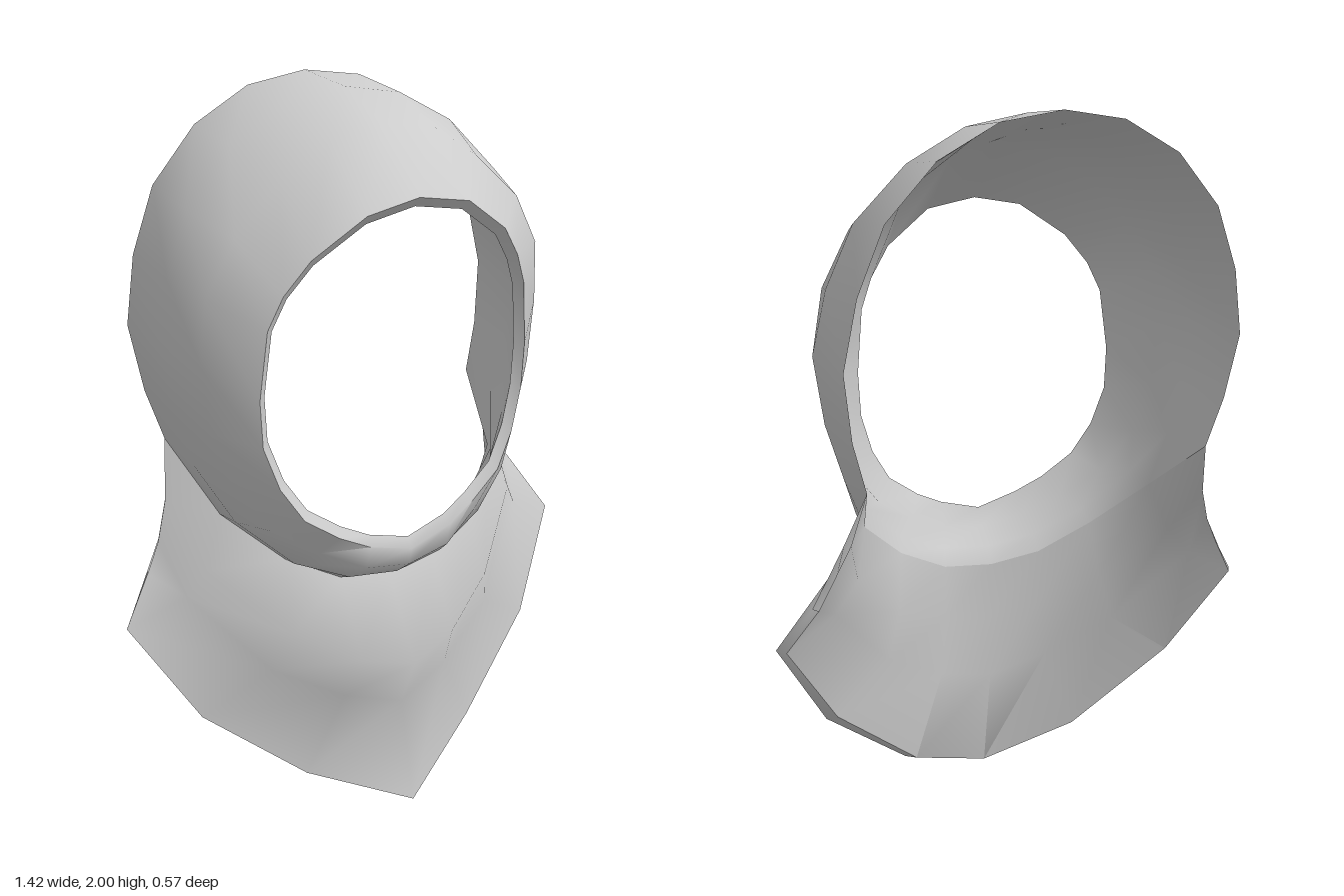
import * as THREE from 'three';
import { toCreasedNormals } from 'three/addons/utils/BufferGeometryUtils.js';

// Half outlines of the hood on the +x side, from crown to chin, as [x, y, z]
const BACK_RIM = [
  [0, 2, -0.285], [0.17, 1.975, -0.285], [0.33, 1.89, -0.28], [0.46, 1.75, -0.27],
  [0.53, 1.58, -0.26], [0.565, 1.4, -0.245], [0.54, 1.22, -0.22], [0.5, 1.08, -0.2],
  [0.44, 0.92, 0], [0.3, 0.79, 0.1], [0.15, 0.71, 0.14], [0, 0.69, 0.15],
];
const MIDDLE = [
  [0, 1.985, -0.08], [0.17, 1.955, -0.08], [0.33, 1.87, -0.08], [0.465, 1.73, -0.06],
  [0.535, 1.57, -0.04], [0.57, 1.4, -0.02], [0.545, 1.22, -0.02], [0.5, 1.07, -0.02],
  [0.435, 0.93, 0.08], [0.3, 0.8, 0.15], [0.15, 0.73, 0.18], [0, 0.71, 0.19],
];
const BROW = [
  [0, 1.92, 0.1], [0.15, 1.9, 0.1], [0.29, 1.81, 0.1], [0.42, 1.69, 0.11],
  [0.5, 1.55, 0.1], [0.515, 1.38, 0.09], [0.5, 1.2, 0.09], [0.45, 1.05, 0.11],
  [0.37, 0.92, 0.16], [0.25, 0.84, 0.2], [0.13, 0.78, 0.24], [0, 0.76, 0.25],
];
const OPENING = [
  [0, 1.745, 0.25], [0.14, 1.72, 0.25], [0.27, 1.63, 0.22], [0.33, 1.55, 0.195],
  [0.365, 1.47, 0.18], [0.385, 1.3, 0.17], [0.38, 1.18, 0.17], [0.345, 1.07, 0.185],
  [0.29, 0.98, 0.205], [0.2, 0.915, 0.22], [0.12, 0.875, 0.235], [0, 0.84, 0.24],
];

// Half outlines of the collar, from the centre front to the back end
const COLLAR = [
  [[0, 0.69, 0.15], [0.15, 0.71, 0.14], [0.3, 0.79, 0.1], [0.44, 0.92, 0], [0.5, 1.08, -0.2]],
  [[0, 0.46, 0.285], [0.15, 0.5, 0.25], [0.32, 0.6, 0.17], [0.5, 0.78, 0.03], [0.54, 0.93, -0.13]],
  [[0, 0.3, 0.22], [0.17, 0.36, 0.19], [0.36, 0.47, 0.12], [0.55, 0.7, 0], [0.58, 0.83, -0.1]],
  [[0, 0, 0.29], [0.28, 0.12, 0.16], [0.55, 0.35, 0.06], [0.71, 0.63, -0.04], [0.62, 0.75, -0.09]],
];
const COLLAR_LINING = [
  [[0, 0.02, 0.21], [0.26, 0.13, 0.12], [0.53, 0.37, 0.02], [0.69, 0.63, -0.07], [0.61, 0.75, -0.11]],
  [[0, 0.33, 0.16], [0.17, 0.38, 0.13], [0.36, 0.49, 0.06], [0.55, 0.71, -0.06], [0.57, 0.83, -0.12]],
  [[0, 0.52, 0.16], [0.15, 0.55, 0.14], [0.32, 0.63, 0.07], [0.48, 0.79, -0.05], [0.53, 0.93, -0.15]],
];

const flip = ([x, y, z]) => [-x, y, z];

// Scale an outline about the middle of the face and shift it in z
const inset = (row, s, dz) => row.map(([x, y, z]) => [x * s, 1.32 + (y - 1.32) * s, z + dz]);

// Skin a surface over rows with equal point counts
function loft(rows, closed) {
  const n = rows[0].length;
  const index = [];
  for (let r = 0; r < rows.length - 1; r++) {
    for (let c = 0; c < (closed ? n : n - 1); c++) {
      const d = (c + 1) % n;
      const a = r * n + c, b = a + n, e = r * n + d, f = e + n;
      index.push(a, b, e, e, b, f);
    }
  }
  const geo = new THREE.BufferGeometry();
  geo.setAttribute('position', new THREE.Float32BufferAttribute(rows.flat(2), 3));
  geo.setIndex(index);
  return toCreasedNormals(geo, 1.05);
}

export function createModel() {
  const group = new THREE.Group();
  group.name = 'hoodWithCollar';
  const cloth = new THREE.MeshStandardMaterial({ color: 0xcccccc, side: THREE.DoubleSide });
  cloth.name = 'grey cloth';

  // Hood: outer skin, rolled lip of the face opening, then the lining back to the rim
  const hoodRows = [
    BACK_RIM, MIDDLE, BROW, inset(OPENING, 1.06, 0.02), OPENING,
    inset(BROW, 0.95, -0.03), inset(MIDDLE, 0.95, -0.02), BACK_RIM,
  ].map((half) => [...half, ...half.slice(1, -1).reverse().map(flip)]);
  const hood = new THREE.Mesh(loft(hoodRows, true), cloth);
  hood.name = 'hood';

  // Collar: neck, folded ridge, pointed hem, then the lining back up to the neck
  const collarRows = [...COLLAR, ...COLLAR_LINING, COLLAR[0]]
    .map((half) => [...half.slice(1).reverse().map(flip), ...half]);
  const collar = new THREE.Mesh(loft(collarRows, false), cloth);
  collar.name = 'collar';

  group.add(hood, collar);
  return group;
}
